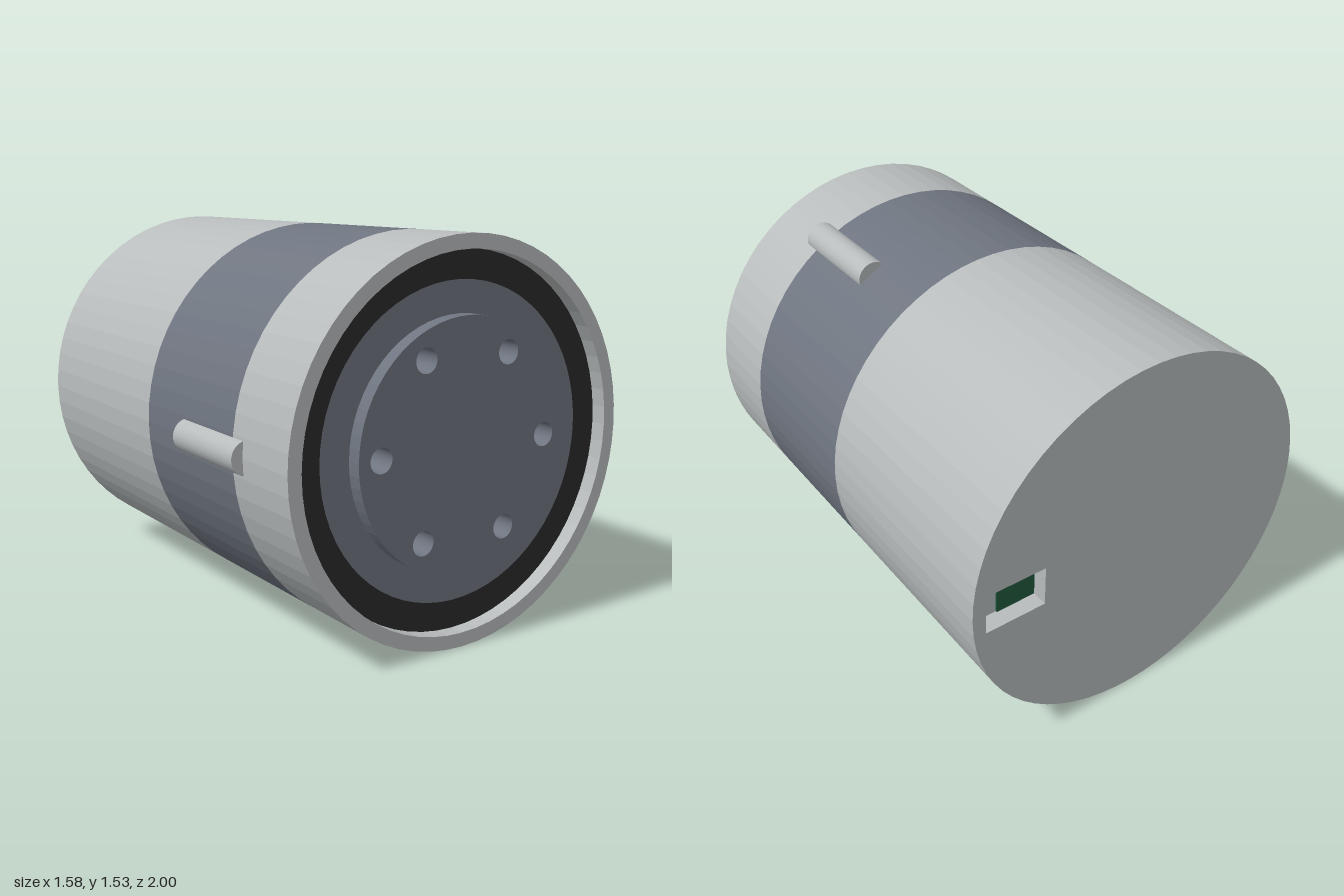
import * as THREE from 'three';

const R = 0.765;

const mat = (name, color) => {
  const m = new THREE.MeshStandardMaterial({ color });
  m.name = name;
  return m;
};

// Circle outline, usable as a shape or as a hole
const circle = (r, x = 0, y = 0, Type = THREE.Shape) => {
  const c = new Type();
  c.absarc(x, y, r, 0, Math.PI * 2, false);
  return c;
};

const rectHole = (x0, x1, y0, y1) => {
  const p = new THREE.Path();
  p.moveTo(x0, y0);
  p.lineTo(x0, y1);
  p.lineTo(x1, y1);
  p.lineTo(x1, y0);
  p.closePath();
  return p;
};

export function createModel() {
  const light = mat('light grey', 0xb8bcbd);
  const slate = mat('slate grey', 0x6f7580);
  const black = mat('seal black', 0x2b2b2b);
  const green = mat('board green', 0x1f5a3c);

  const model = new THREE.Group();
  model.name = 'canister';
  const body = new THREE.Group();
  body.name = 'body';
  body.position.set(0.02, R, 0);
  model.add(body);

  const add = (name, geometry, material) => {
    const mesh = new THREE.Mesh(geometry, material);
    mesh.name = name;
    body.add(mesh);
    return mesh;
  };

  // Slab from z0 to z1 with a round outline and optional holes
  const slab = (name, r, z0, z1, material, holes = [], segments = 32) => {
    const shape = circle(r);
    shape.holes.push(...holes);
    const g = new THREE.ExtrudeGeometry(shape, {
      depth: z1 - z0, bevelEnabled: false, curveSegments: segments,
    });
    g.translate(0, 0, z0);
    return add(name, g, material);
  };

  // Main shell: rear wall with a port opening, rear barrel, band, front collar
  slab('rearWall', R, -1, -0.93, light, [rectHole(0.455, 0.71, -0.085, 0.085)]);
  slab('rearBarrel', R, -0.93, -0.03, light);
  slab('middleBand', R, -0.03, 0.64, slate);
  slab('frontCollar', R, 0.64, 1, light, [circle(0.71, 0, 0, THREE.Path)]);

  // Circuit board seen in the rear port
  const board = add('portBoard', new THREE.BoxGeometry(0.165, 0.17, 0.008), green);
  board.position.set(0.5375, 0, -0.932);

  // Recessed front: black seal, faceplate and raised hub with six bolt holes
  const boltHoles = () => Array.from({ length: 6 }, (_, i) => {
    const a = i * Math.PI / 3;
    return circle(0.047, 0.382 * Math.cos(a), 0.382 * Math.sin(a), THREE.Path);
  });
  slab('sealRing', 0.71, 0.86, 0.94, black, [circle(0.6, 0, 0, THREE.Path)]);
  slab('faceplate', 0.6, 0.86, 0.94, slate, boltHoles());
  slab('hub', 0.478, 0.94, 0.998, slate, boltHoles());

  for (let i = 0; i < 3; i++) {
    // Inner blocks visible through every second bolt hole
    const a = i * Math.PI * 2 / 3;
    const block = add('innerBlock', new THREE.BoxGeometry(0.12, 0.14, 0.2), light);
    block.position.set(0.35 * Math.cos(a), 0.35 * Math.sin(a), 0.74);
    block.rotation.z = a;

    // Locating ribs along the outside
    const b = a + Math.PI / 3;
    const g = new THREE.CylinderGeometry(0.065, 0.065, 0.44, 32);
    g.rotateX(Math.PI / 2);
    const rib = add('locatingRib', g, light);
    rib.position.set(0.745 * Math.cos(b), 0.745 * Math.sin(b), 0.49);
  }

  return model;
}
